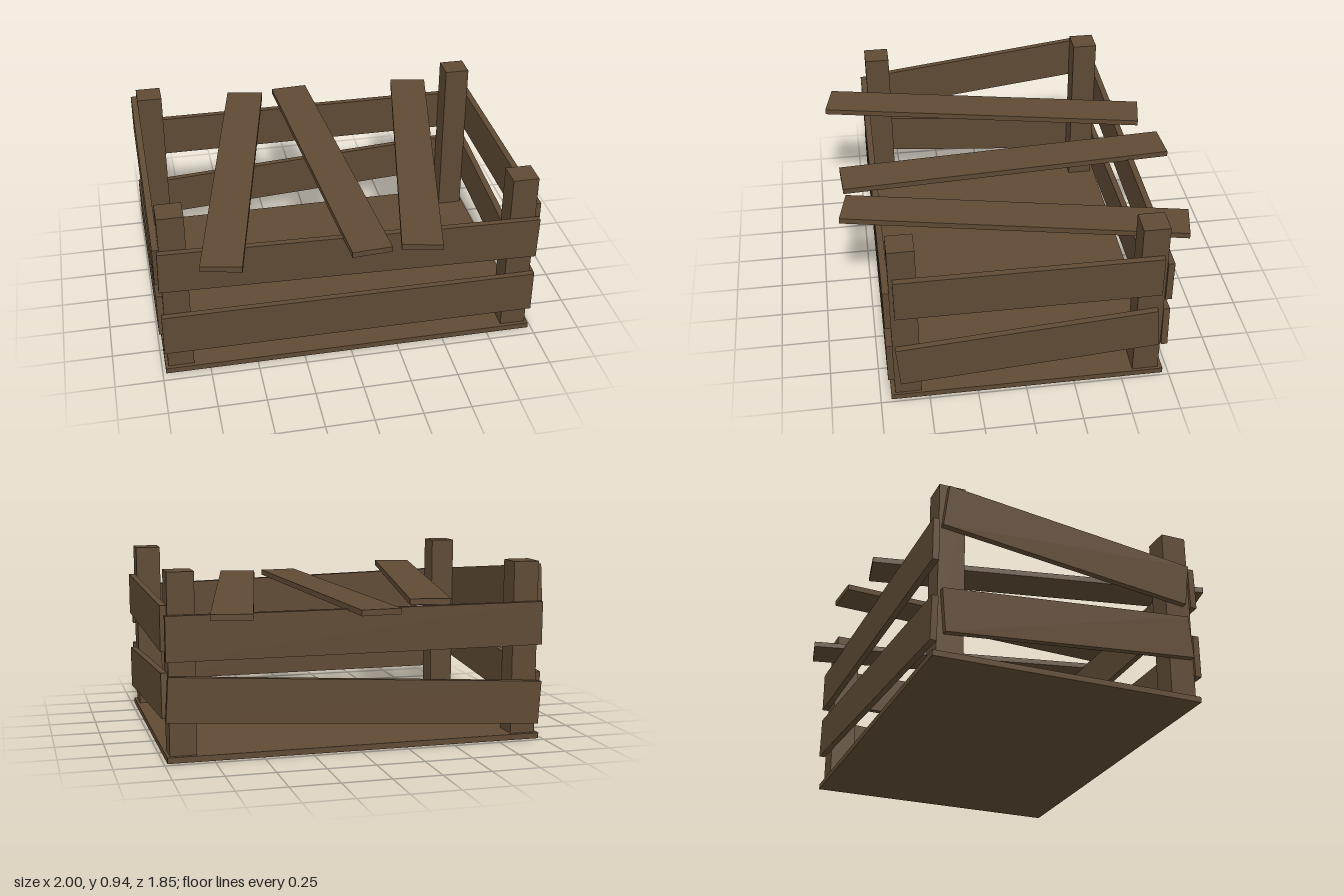
import * as THREE from 'three';

const H = 0.227; // height of a wall plank

export function createModel() {
  const crate = new THREE.Group();
  crate.name = 'crate';
  const wood = new THREE.MeshStandardMaterial({ color: 0x5f4a34 });
  wood.name = 'brown wood';

  function board(name, size, position, rotation = [0, 0, 0]) {
    const mesh = new THREE.Mesh(new THREE.BoxGeometry(...size), wood);
    mesh.name = name;
    mesh.position.set(...position);
    mesh.rotation.set(...rotation);
    crate.add(mesh);
  }

  // floor
  board('floor', [1.965, 0.03, 1.415], [0, 0.015, -0.012]);

  // corner posts
  for (const [side, x] of [['left', 0.9], ['right', -0.9]]) {
    for (const [end, z] of [['Front', 0.607], ['Back', -0.629]]) {
      board(side + end + 'Post', [0.135, 0.91, 0.135], [x, 0.485, z]);
    }
  }

  // front and back planks: name, y, z, tilt
  for (const [name, y, z, tilt] of [
    ['frontUpperPlank', 0.618, 0.69, -0.023],
    ['frontLowerPlank', 0.252, 0.69, 0],
    ['backUpperPlank', 0.618, -0.713, 0],
    ['backLowerPlank', 0.258, -0.713, 0.063],
  ]) board(name, [1.965, H, 0.033], [0, y, z], [0, 0, tilt]);

  // side planks: name, x, y, tilt
  for (const [name, x, y, tilt] of [
    ['leftUpperPlank', 0.983, 0.663, 0],
    ['leftLowerPlank', 0.983, 0.28, 0.076],
    ['rightUpperPlank', -0.983, 0.725, 0.124],
    ['rightLowerPlank', -0.983, 0.292, -0.082],
  ]) board(name, [0.034, H, 1.33], [x, y, -0.01], [tilt, 0, 0]);

  // loose planks lying across the top: x, y, z, turn
  [
    [-0.506, 0.77, 0.032, -0.206],
    [0.008, 0.739, -0.027, 0.062],
    [0.5, 0.737, -0.006, -0.209],
  ].forEach(([x, y, z, turn], i) =>
    board('topPlank' + (i + 1), [0.206, 0.03, 1.782], [x, y, z], [0, turn, 0]));

  return crate;
}
